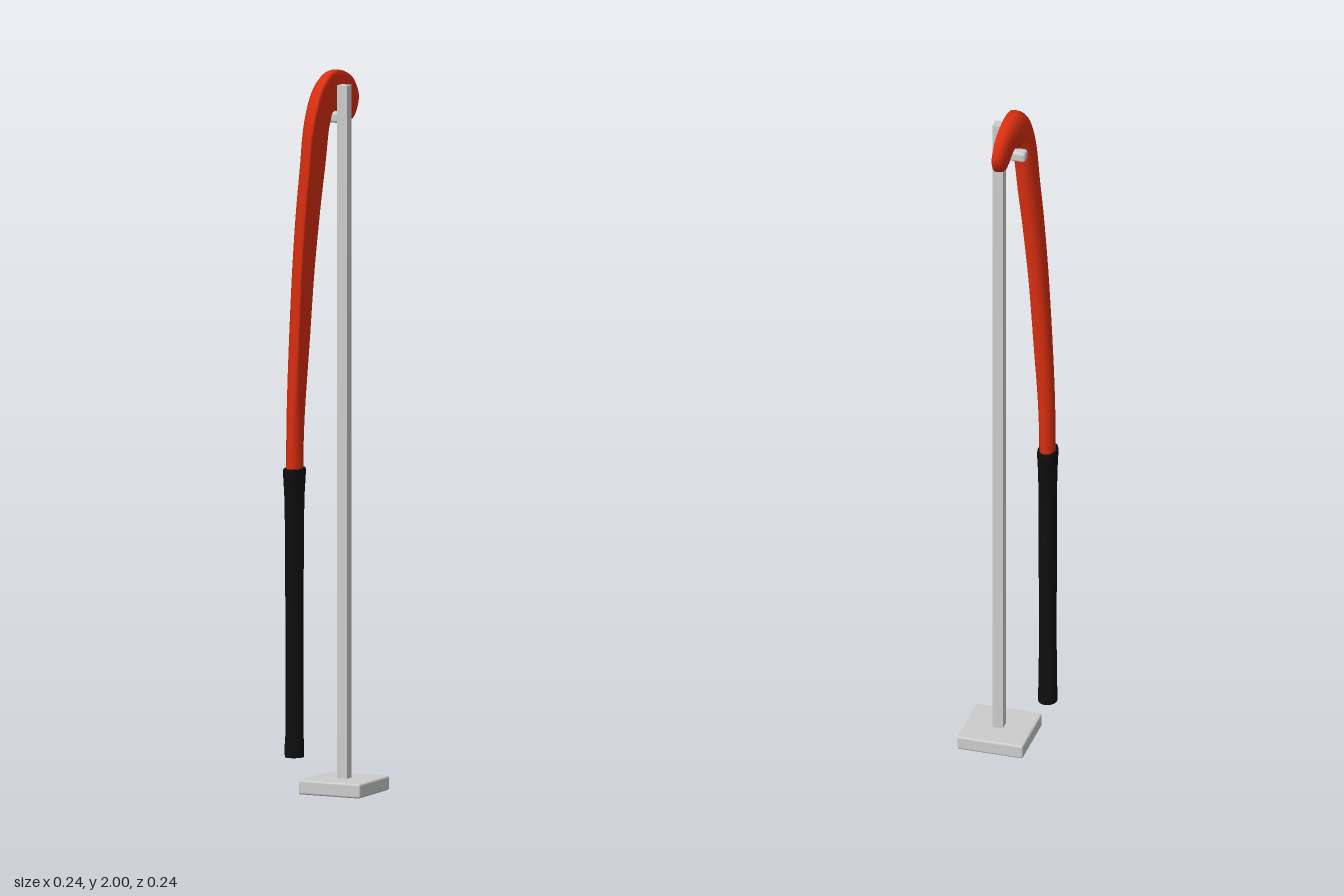
import * as THREE from 'three';
import { RoundedBoxGeometry } from 'three/addons/geometries/RoundedBoxGeometry.js';

const SIDES = 32;
const spow = (v, p) => Math.sign(v) * Math.pow(Math.abs(v), p);

// Skin a list of rings { outer, inner: [z, y], face: x, depth, flat: 0 oval .. 1 flat-faced }.
function loft(rings) {
  const pos = [], idx = [];
  for (const r of rings) {
    const mz = (r.outer[0] + r.inner[0]) / 2, my = (r.outer[1] + r.inner[1]) / 2;
    const front = r.depth * (0.5 - 0.25 * r.flat), back = r.depth - front;
    for (let j = 0; j < SIDES; j++) {
      const a = (j / SIDES) * Math.PI * 2, c = Math.cos(a), s = Math.sin(a);
      const p = s > 0 ? 1 - 0.68 * r.flat : 1 - 0.15 * r.flat;
      const u = spow(c, p);
      const x = r.face - front + spow(s, p) * (s > 0 ? front : back);
      pos.push(x, my + (r.outer[1] - my) * u, mz + (r.outer[0] - mz) * u);
    }
  }
  for (let i = 0; i < rings.length - 1; i++) {
    for (let j = 0; j < SIDES; j++) {
      const k = (j + 1) % SIDES, a = i * SIDES + j, b = i * SIDES + k;
      idx.push(a, b, b + SIDES, a, b + SIDES, a + SIDES);
    }
  }
  const g = new THREE.BufferGeometry();
  g.setAttribute('position', new THREE.Float32BufferAttribute(pos, 3));
  g.setIndex(idx);
  g.computeVertexNormals();
  return g;
}

// Shaft and hooked head: outer z, outer y, inner z, inner y, face x, depth
const STICK = [
  [0.099, 0.86, 0.041, 0.86, -0.068, 0.044],
  [0.104, 1.10, 0.038, 1.10, -0.064, 0.043],
  [0.114, 1.40, 0.032, 1.40, -0.048, 0.043],
  [0.121, 1.60, 0.026, 1.60, -0.031, 0.045],
  [0.122, 1.74, 0.019, 1.74, -0.017, 0.046],
  [0.121, 1.83, 0.015, 1.83, -0.009, 0.047],
  [0.106, 1.90, 0.012, 1.865, -0.003, 0.048],
  [0.074, 1.957, 0.008, 1.880, 0.000, 0.048],
  [0.035, 1.990, 0.002, 1.888, 0.004, 0.047],
  [0.000, 2.000, -0.004, 1.890, 0.007, 0.046],
  [-0.042, 1.993, -0.009, 1.890, 0.010, 0.044],
  [-0.085, 1.973, -0.013, 1.887, 0.013, 0.042],
  [-0.110, 1.945, -0.016, 1.880, 0.015, 0.040],
  [-0.122, 1.913, -0.020, 1.873, 0.016, 0.037],
  [-0.109, 1.880, -0.030, 1.863, 0.016, 0.032],
  [-0.088, 1.860, -0.050, 1.854, 0.015, 0.024],
  [-0.069, 1.852, -0.069, 1.852, 0.010, 0.002],
];

function stickGeometry() {
  const outer = new THREE.CatmullRomCurve3(
    STICK.map((s) => new THREE.Vector3(s[4], s[1], s[0])), false, 'catmullrom', 0.5);
  const inner = new THREE.CatmullRomCurve3(
    STICK.map((s) => new THREE.Vector3(s[5], s[3], s[2])), false, 'catmullrom', 0.5);
  const rings = [], n = (STICK.length - 1) * 6;
  for (let i = 0; i <= n; i++) {
    const o = outer.getPoint(i / n), q = inner.getPoint(i / n);
    rings.push({
      outer: [o.z, o.y], inner: [q.z, q.y], face: o.x, depth: q.x,
      flat: THREE.MathUtils.smoothstep(o.y, 0.9, 1.3),
    });
  }
  return loft(rings);
}

// Grip: height, half width, depth; repeated rows keep the end rims sharp
function gripGeometry() {
  const rows = [
    [0.10, 0, 0], [0.10, 0.029, 0.052], [0.10, 0.029, 0.052], [0.13, 0.029, 0.053],
    [0.16, 0.025, 0.050], [0.30, 0.026, 0.049], [0.45, 0.027, 0.049], [0.60, 0.029, 0.049],
    [0.78, 0.033, 0.050], [0.83, 0.037, 0.051], [0.87, 0.042, 0.054], [0.893, 0.044, 0.056],
    [0.90, 0.042, 0.054], [0.90, 0.042, 0.054], [0.90, 0, 0],
  ];
  return loft(rows.map(([y, w, d]) => ({
    outer: [0.07 + w, y], inner: [0.07 - w, y], face: -0.09 + d / 2, depth: d, flat: 0,
  })));
}

export function createModel() {
  const mat = (name, color) => {
    const m = new THREE.MeshStandardMaterial({ color });
    m.name = name;
    return m;
  };
  const red = mat('red', 0xd92e10);
  const black = mat('black', 0x0e0e0e);
  const grey = mat('light grey', 0xcccccc);

  const model = new THREE.Group();
  model.name = 'hockeyStickOnStand';
  const add = (parent, name, geometry, material, x = 0, y = 0, z = 0) => {
    const mesh = new THREE.Mesh(geometry, material);
    mesh.name = name;
    mesh.position.set(x, y, z);
    parent.add(mesh);
  };

  // Stick
  const stick = new THREE.Group();
  stick.name = 'stick';
  add(stick, 'shaftAndHead', stickGeometry(), red);
  add(stick, 'grip', gripGeometry(), black);

  // Stand
  const stand = new THREE.Group();
  stand.name = 'stand';
  add(stand, 'base', new RoundedBoxGeometry(0.188, 0.04, 0.188, 3, 0.006), grey, 0.027, 0.02, 0);
  add(stand, 'post', new THREE.BoxGeometry(0.03, 1.925, 0.03), grey, 0.028, 0.9975, 0);
  add(stand, 'peg', new RoundedBoxGeometry(0.07, 0.03, 0.032, 3, 0.008), grey, -0.015, 1.87, 0);

  model.add(stick, stand);
  return model;
}
